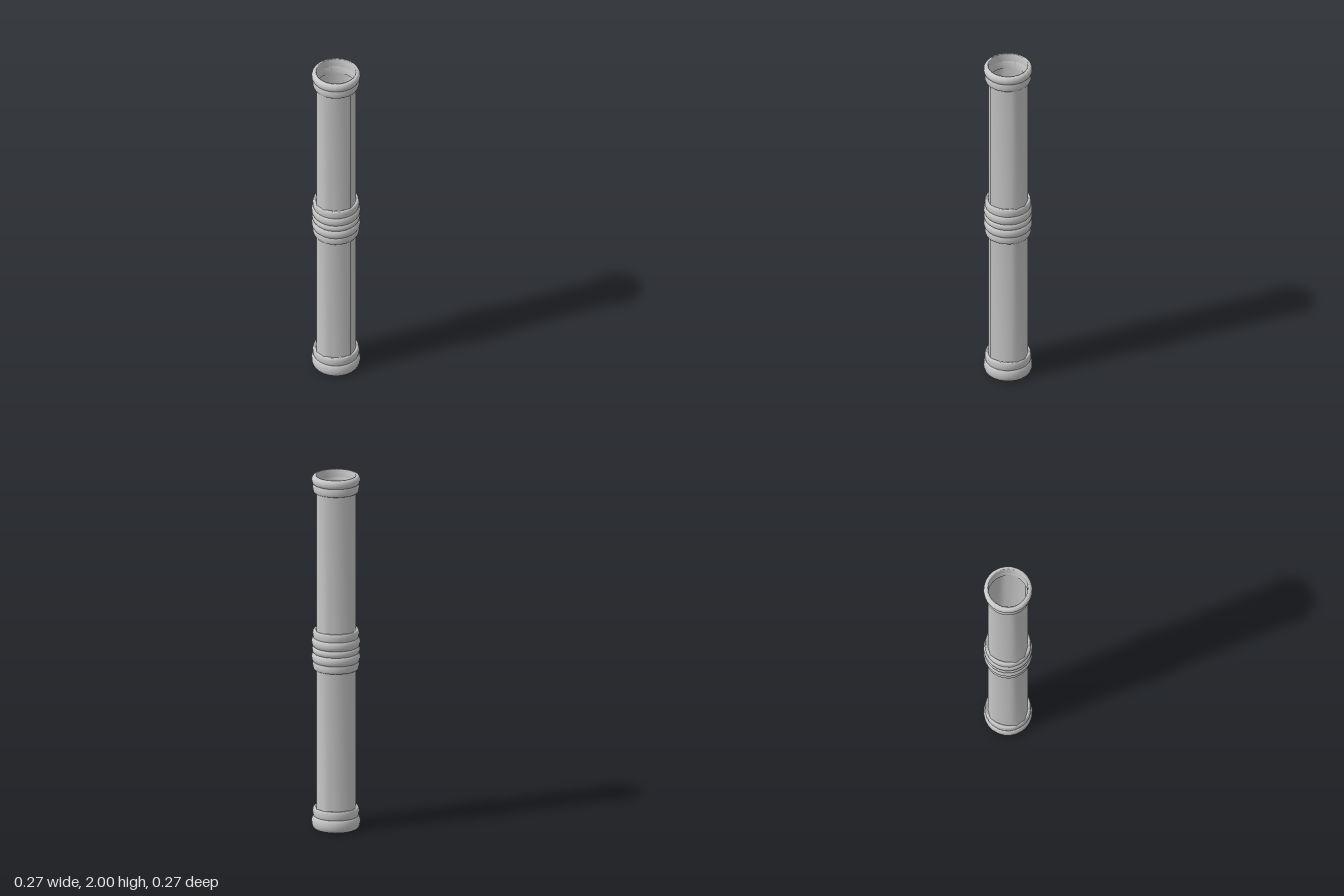
import * as THREE from 'three';

const SIDES = 24;
const INNER = 0.108;

// Rounded band: half-ellipse bulge between y0 and y1, closed by a straight bore
function bandGeometry(y0, y1, lip0, bulge, lip1) {
  const points = [new THREE.Vector2(INNER, y0)];
  const steps = 8;
  for (let i = 0; i <= steps; i++) {
    const a = (i / steps) * Math.PI;
    const t = (1 - Math.cos(a)) / 2;
    const lip = lip0 + (lip1 - lip0) * t;
    points.push(new THREE.Vector2(lip + (bulge - lip) * Math.sin(a), y0 + (y1 - y0) * t));
  }
  points.push(new THREE.Vector2(INNER, y1), new THREE.Vector2(INNER, y0));
  return new THREE.LatheGeometry(points, SIDES);
}

// Open tube wall: ridges at front and back, narrow flats at the sides
function wallGeometry(y0, y1) {
  const quarter = [
    [0, 0.118], [0.042, 0.102], [0.077, 0.077], [0.097, 0.053], [0.117, 0.028],
  ];
  const ring = [
    ...quarter,
    ...quarter.slice().reverse().map(([x, z]) => [x, -z]),
    ...quarter.slice(1).map(([x, z]) => [-x, -z]),
    ...quarter.slice(1).reverse().map(([x, z]) => [-x, z]),
    quarter[0],
  ];
  const positions = [];
  const indices = [];
  ring.forEach(([x, z], i) => {
    positions.push(x, y0, z, x, y1, z);
    if (i < ring.length - 1) {
      const a = i * 2;
      indices.push(a, a + 2, a + 1, a + 2, a + 3, a + 1);
    }
  });
  const geometry = new THREE.BufferGeometry();
  geometry.setAttribute('position', new THREE.Float32BufferAttribute(positions, 3));
  geometry.setIndex(indices);
  geometry.computeVertexNormals();
  return geometry;
}

export function createModel() {
  const metal = new THREE.MeshStandardMaterial({ color: 0xc8c8c8, side: THREE.DoubleSide });
  metal.name = 'light grey metal';

  const model = new THREE.Group();
  model.name = 'ringedTube';
  const add = (name, geometry) => {
    const mesh = new THREE.Mesh(geometry, metal);
    mesh.name = name;
    model.add(mesh);
  };

  // Two tube walls
  add('lowerTube', wallGeometry(0.06, 0.96));
  add('upperTube', wallGeometry(1.06, 1.96));

  // Bands: name, bottom, top, bottom lip, bulge, top lip
  const bands = [
    ['bottomRim', 0, 0.073, 0.116, 0.133, 0.118],
    ['bottomCollar', 0.07, 0.12, 0.122, 0.127, 0.119],
    ['middleLowerCollar', 0.902, 0.95, 0.119, 0.127, 0.122],
    ['middleLowerRing', 0.942, 0.998, 0.116, 0.133, 0.116],
    ['middleRing', 0.992, 1.034, 0.116, 0.131, 0.116],
    ['middleUpperRing', 1.028, 1.086, 0.116, 0.133, 0.116],
    ['middleUpperCollar', 1.08, 1.127, 0.122, 0.127, 0.119],
    ['topCollar', 1.906, 1.956, 0.119, 0.127, 0.122],
    ['topRim', 1.95, 2, 0.116, 0.133, 0.116],
  ];
  bands.forEach(([name, ...size]) => add(name, bandGeometry(...size)));

  return model;
}
